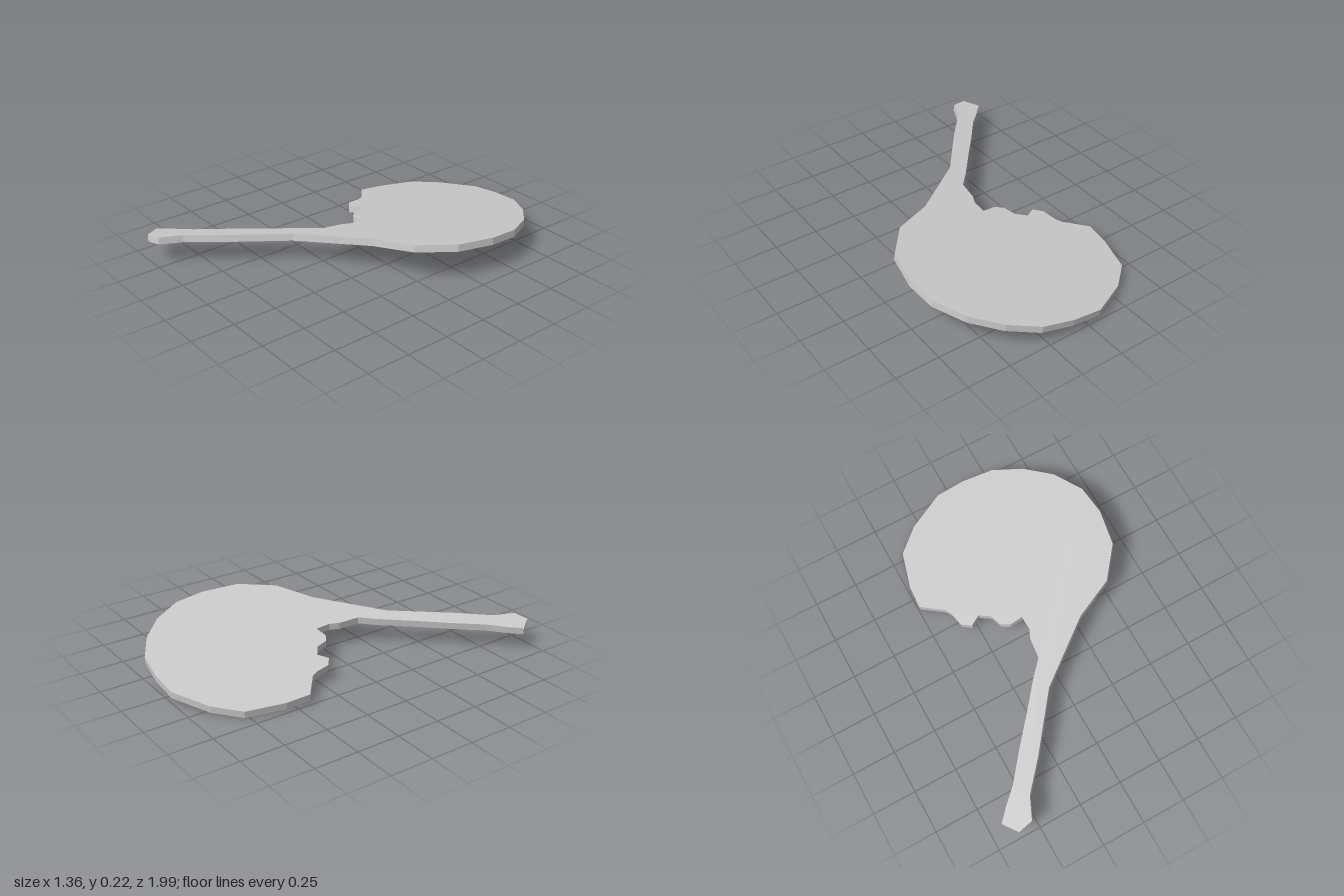
import * as THREE from 'three';

// Outline as seen from above, in [x, z], split into its natural stretches
const roundRim = [
  [-0.495, -0.425], [-0.485, -0.56], [-0.425, -0.775], [-0.29, -0.895], [-0.075, -1], [0.095, -1],
  [0.275, -0.97], [0.435, -0.875], [0.57, -0.74], [0.66, -0.565], [0.673, -0.385], [0.63, -0.17], [0.485, 0.01],
];
const handle = [
  [0.255, 0.115], [-0.1, 0.385], [-0.34, 0.69], [-0.48, 0.85], [-0.535, 0.972], [-0.62, 0.99], [-0.68, 0.905],
  [-0.615, 0.835], [-0.53, 0.755], [-0.405, 0.6], [-0.285, 0.46], [-0.14, 0.285], [-0.065, 0.205],
];
const raggedNotch = [
  [-0.05, 0.085], [-0.025, 0.03], [-0.025, -0.055], [-0.105, -0.05], [-0.15, -0.08], [-0.17, -0.15],
  [-0.23, -0.195], [-0.29, -0.16], [-0.34, -0.2], [-0.355, -0.285], [-0.375, -0.325],
];

const THICKNESS = 0.04;
const SLOPE_X = 0.125; // rise per unit of x
const SLOPE_Z = 0.078; // rise per unit of z
const HEIGHT = 0.154; // top surface height at the centre

export function createModel() {
  const model = new THREE.Group();
  model.name = 'paddle';

  // Flat slab cut to the outline
  const outline = [...roundRim, ...handle, ...raggedNotch];
  const shape = new THREE.Shape(outline.map(([x, z]) => new THREE.Vector2(x, -z)));
  const geometry = new THREE.ExtrudeGeometry(shape, { depth: THICKNESS, bevelEnabled: false });
  geometry.rotateX(-Math.PI / 2);

  // Tilt it onto a sloping plane, with the thickness square to that plane
  const p = geometry.attributes.position;
  for (let i = 0; i < p.count; i++) {
    const x = p.getX(i), z = p.getZ(i);
    const drop = THICKNESS - p.getY(i);
    p.setXYZ(i, x + drop * SLOPE_X, HEIGHT + SLOPE_X * x + SLOPE_Z * z - drop, z + drop * SLOPE_Z);
  }
  geometry.computeVertexNormals();

  const material = new THREE.MeshStandardMaterial({ color: 0xcccccc, flatShading: true });
  const slab = new THREE.Mesh(geometry, material);
  slab.name = 'bladeAndHandle';
  model.add(slab);

  // Rest the lowest edge on the ground
  slab.position.y = -new THREE.Box3().setFromObject(slab).min.y;
  return model;
}
